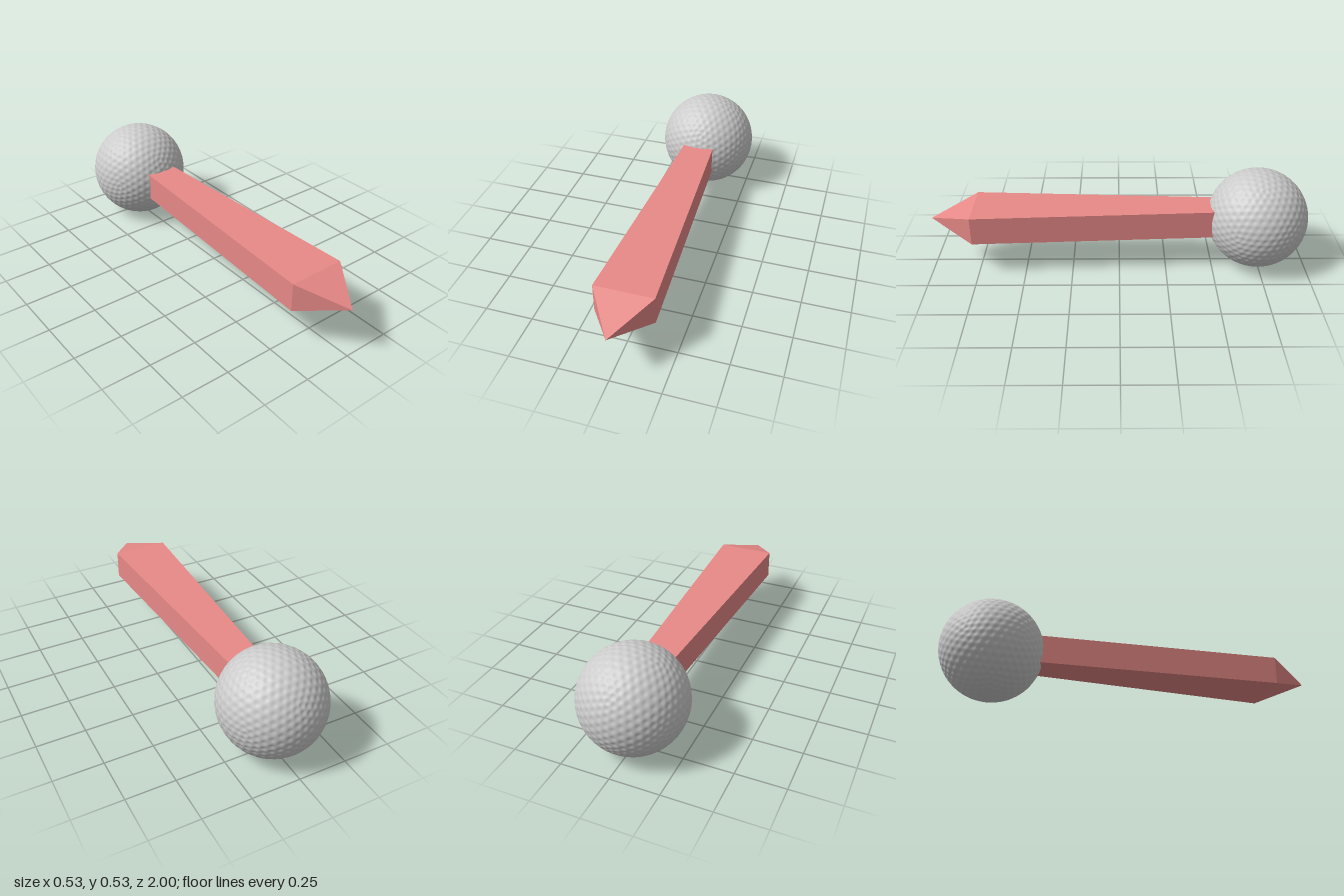
import * as THREE from 'three';
import { mergeVertices } from 'three/addons/utils/BufferGeometryUtils.js';

const CENTRE_Y = 0.266, BALL_Z = -0.735, BALL_R = 0.265;
const DIMPLE_R = 0.075, DIMPLE_DEPTH = 0.004; // angular radius, depth

// Unique points of a subdivided icosahedron
function icoSphere(radius, detail) {
  const geo = new THREE.IcosahedronGeometry(radius, detail);
  geo.deleteAttribute('normal');
  geo.deleteAttribute('uv');
  return mergeVertices(geo, 1e-5);
}

// Sphere pressed in around the points of a coarser icosahedral grid
function dimpledBall() {
  const coarse = icoSphere(1, 7).attributes.position;
  const centres = Array.from({ length: coarse.count },
    (_, i) => new THREE.Vector3().fromBufferAttribute(coarse, i));
  const geo = icoSphere(1, 47);
  const pos = geo.attributes.position;
  const v = new THREE.Vector3();
  for (let i = 0; i < pos.count; i++) {
    v.fromBufferAttribute(pos, i);
    let best = -1;
    for (const c of centres) best = Math.max(best, v.dot(c));
    const t = Math.min(Math.acos(Math.min(best, 1)) / DIMPLE_R, 1);
    v.multiplyScalar(BALL_R - DIMPLE_DEPTH * (0.5 + 0.5 * Math.cos(Math.PI * t)));
    pos.setXYZ(i, v.x, v.y, v.z);
  }
  geo.computeVertexNormals();
  return geo;
}

// Bar that widens toward the front
function taperedBar(backZ, frontZ, backHalf, frontHalf, halfHeight) {
  const geo = new THREE.BoxGeometry(2, 2 * halfHeight, frontZ - backZ);
  geo.translate(0, 0, (frontZ + backZ) / 2);
  const pos = geo.attributes.position;
  for (let i = 0; i < pos.count; i++) {
    pos.setX(i, pos.getX(i) * (pos.getZ(i) > 0 ? frontHalf : backHalf));
  }
  geo.computeVertexNormals();
  return geo;
}

// Four-sided point with a rectangular base
function pyramid(halfWidth, halfHeight, length) {
  const geo = new THREE.ConeGeometry(Math.SQRT2, length, 4, 1, true, Math.PI / 4);
  geo.rotateX(Math.PI / 2);
  geo.scale(halfWidth, halfHeight, 1);
  return geo;
}

export function createModel() {
  const model = new THREE.Group();
  model.name = 'ballPointer';
  const grey = new THREE.MeshStandardMaterial({ color: 0xcccccc });
  const pink = new THREE.MeshStandardMaterial({ color: 0xe88a88, flatShading: true });

  const add = (name, geometry, material, z = 0) => {
    const mesh = new THREE.Mesh(geometry, material);
    mesh.name = name;
    mesh.position.set(0, CENTRE_Y, z);
    model.add(mesh);
  };

  add('dimpledBall', dimpledBall(), grey, BALL_Z);
  add('taperedShaft', taperedBar(-0.6, 0.77, 0.08, 0.15, 0.075), pink);
  add('pointedTip', pyramid(0.15, 0.075, 0.23), pink, 0.885);
  return model;
}
